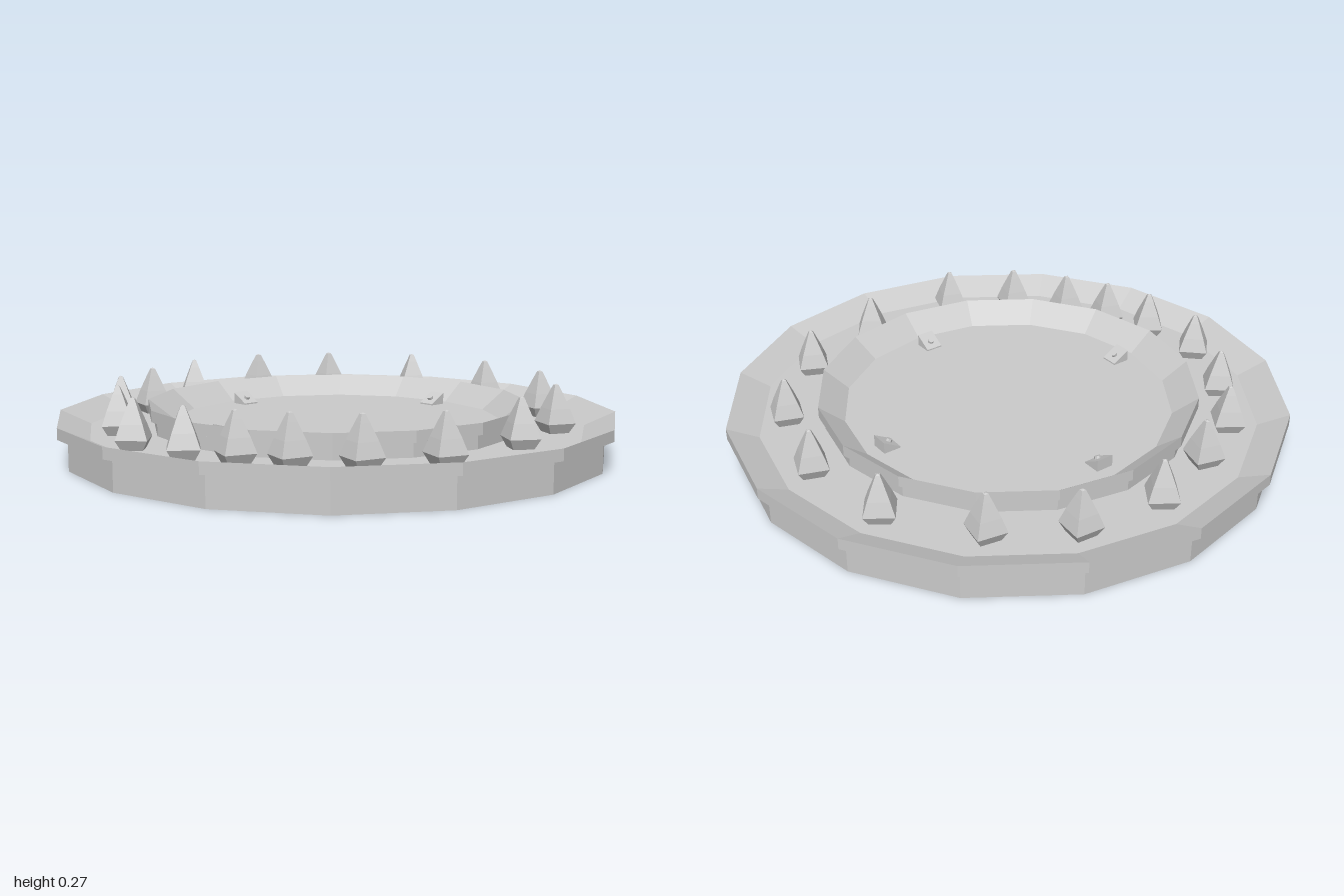
import * as THREE from 'three';

const SIDES = 16;

export function createModel() {
  const group = new THREE.Group();
  const mat = new THREE.MeshStandardMaterial({ color: 0xcccccc, flatShading: true, side: THREE.DoubleSide });

  const add = (geo, name, parent = group) => {
    const mesh = new THREE.Mesh(geo, mat);
    mesh.name = name;
    parent.add(mesh);
    return mesh;
  };
  // Faceted ring or solid turned from [radius, height] pairs
  const turn = (profile, sides = SIDES) =>
    new THREE.LatheGeometry(profile.map(([r, y]) => new THREE.Vector2(r, y)), sides).toNonIndexed();

  // Outer wall with overhanging lip and a top that slopes inward
  add(turn([[0.89, 0], [0.965, 0], [0.965, 0.11], [1, 0.11], [1, 0.15], [0.89, 0.1], [0.89, 0]]), 'outerWall');

  // Floor of the trough between the two walls
  add(turn([[0.63, 0.095], [0.9, 0.095], [0.9, 0.1], [0.63, 0.1], [0.63, 0.095]]), 'troughFloor');

  // Inner wall, a smaller version of the outer one
  add(turn([[0.6, 0.07], [0.66, 0.07], [0.66, 0.15], [0.68, 0.15], [0.68, 0.19], [0.59, 0.12], [0.6, 0.07]]), 'innerWall');

  // Central floor slab
  add(turn([[0, 0.08], [0.61, 0.08], [0.61, 0.12], [0, 0.12]]), 'centreFloor');

  // Four wedges facing the middle, each with a small nozzle
  const wedgeGeo = new THREE.BoxGeometry(0.064, 0.09, 0.064);
  const pos = wedgeGeo.attributes.position;
  for (let i = 0; i < pos.count; i++) {
    // lower the top edge on the inner side
    if (pos.getY(i) > 0 && pos.getZ(i) < 0) pos.setY(i, 0.008);
  }
  wedgeGeo.computeVertexNormals();
  const nozzleGeo = new THREE.CylinderGeometry(0.011, 0.011, 0.02, 8);
  for (let i = 0; i < 4; i++) {
    const jet = new THREE.Group();
    jet.name = 'jet';
    add(wedgeGeo, 'jetWedge', jet).position.set(0, 0.117, 0.51);
    const nozzle = add(nozzleGeo, 'jetNozzle', jet);
    nozzle.position.set(0, 0.14, 0.505);
    nozzle.rotation.x = -0.52;
    jet.rotation.y = i * Math.PI / 2;
    group.add(jet);
  }

  // Four-sided pointed buds standing in the trough: x, z, turn in degrees
  const budGeo = turn([[0, 0.07], [0.03, 0.07], [0.074, 0.135], [0.052, 0.185], [0.024, 0.24], [0.01, 0.266], [0, 0.27]], 4);
  const buds = [
    [-0.31, -0.73, 10], [0.04, -0.78, 25], [0.38, -0.69, 25], [0.64, -0.44, 20], [0.74, -0.12, 12],
    [0.75, 0.26, 25], [0.61, 0.48, 30], [0.44, 0.62, 30], [0.29, 0.71, 25], [0.12, 0.78, 8],
    [-0.12, 0.8, 0], [-0.38, 0.68, 5], [-0.58, 0.53, 10], [-0.69, 0.31, 30], [-0.78, 0.04, 10],
    [-0.75, -0.27, 40], [-0.59, -0.52, 35],
  ];
  for (const [x, z, deg] of buds) {
    const bud = add(budGeo, 'bud');
    bud.position.set(x, 0, z);
    bud.rotation.y = THREE.MathUtils.degToRad(deg);
  }

  return group;
}
